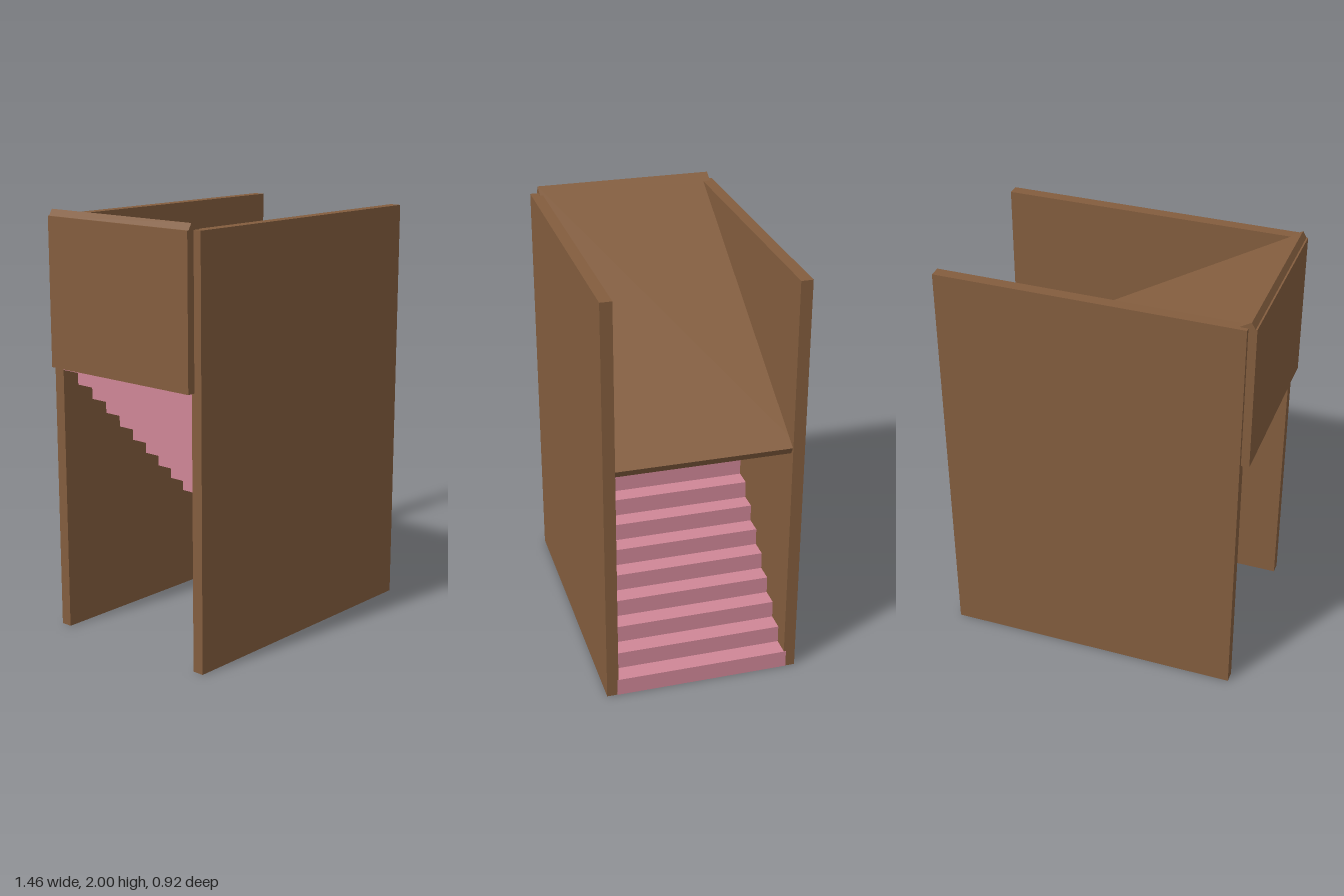
import * as THREE from 'three';

export function createModel() {
  const model = new THREE.Group();
  model.name = 'coveredStaircase';

  const wood = new THREE.MeshStandardMaterial({ color: 0x835d3e });
  wood.name = 'brown wood';
  const pink = new THREE.MeshStandardMaterial({ color: 0xcf8696 });
  pink.name = 'pink steps';

  // Box given by its extents along each axis
  function block(name, material, [x0, x1], [y0, y1], [z0, z1], parent = model) {
    const mesh = new THREE.Mesh(new THREE.BoxGeometry(x1 - x0, y1 - y0, z1 - z0), material);
    mesh.position.set((x0 + x1) / 2, (y0 + y1) / 2, (z0 + z1) / 2);
    mesh.name = name;
    parent.add(mesh);
    return mesh;
  }

  // Side walls
  block('frontWall', wood, [-0.692, 0.725], [0, 1.97], [0.405, 0.46]);
  block('backWall', wood, [-0.692, 0.725], [0, 1.97], [-0.46, -0.405]);

  // Panel closing the upper part of the high end
  block('endPanel', wood, [-0.73, -0.692], [1.275, 1.97], [-0.44, 0.42]);

  // Sloping roof slab, 30 degrees, square-cut ends
  const angle = Math.PI / 6;
  const length = 1.646;
  const thickness = 0.04;
  const slab = new THREE.BoxGeometry(length, thickness, 0.86);
  slab.translate(length / 2, -thickness / 2, 0);
  const roof = new THREE.Mesh(slab, wood);
  roof.name = 'slopingRoof';
  roof.rotation.z = -angle;
  roof.position.set(-0.705, 2, -0.01);
  model.add(roof);

  // Floating flight of steps climbing towards the high end
  const stairs = new THREE.Group();
  stairs.name = 'stairs';
  model.add(stairs);
  const rise = 0.084;
  const run = 0.088;
  for (let i = 0; i < 16; i++) {
    const x = 0.727 - i * run;
    block(`step${i + 1}`, pink, [x - 0.098, x], [i * rise, (i + 1) * rise], [-0.415, 0.41], stairs);
  }

  return model;
}
